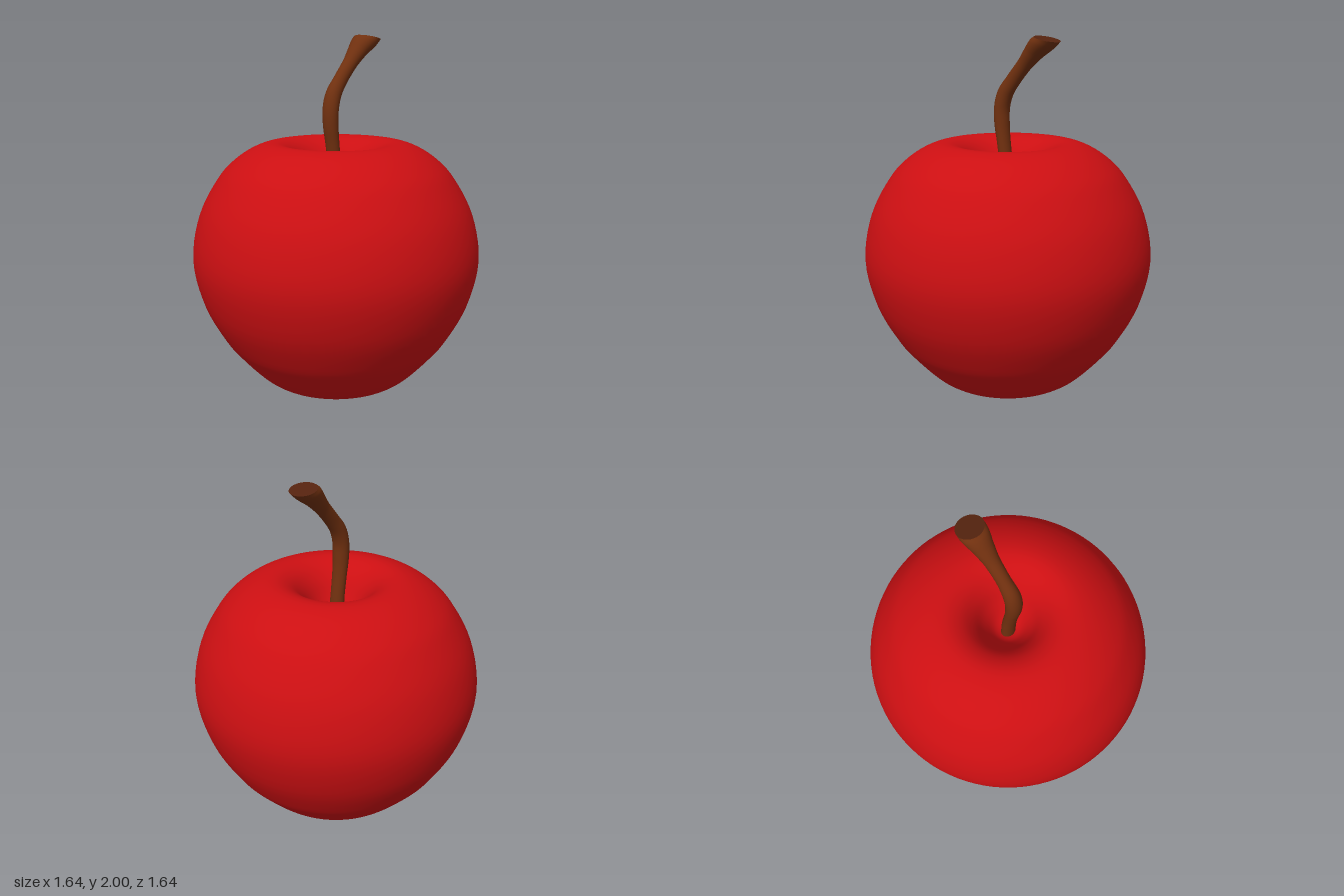
import * as THREE from 'three';

const material = (color) => new THREE.MeshStandardMaterial({ color });

// Stem cross-sections: y, z, radius in x, radius along the tilted depth, backward tilt
const RINGS = [
  [1.05, 0.00, 0.045, 0.036, 0.0],
  [1.25, 0.01, 0.043, 0.036, 0.0],
  [1.40, 0.03, 0.043, 0.036, -0.06],
  [1.50, 0.043, 0.046, 0.041, 0.0],
  [1.60, 0.043, 0.048, 0.043, 0.2],
  [1.68, 0.018, 0.044, 0.045, 0.5],
  [1.76, -0.043, 0.038, 0.042, 0.65],
  [1.84, -0.115, 0.042, 0.042, 0.7],
  [1.91, -0.182, 0.058, 0.053, 0.6],
  [1.955, -0.235, 0.074, 0.067, 0.42],
  [1.983, -0.27, 0.076, 0.072, 0.22],
];

// Sweep smoothed elliptical rings up the stem
function stemGeometry(steps = 60, sides = 32) {
  const path = new THREE.CatmullRomCurve3(RINGS.map(([y, z]) => new THREE.Vector3(0, y, z)));
  const shape = new THREE.CatmullRomCurve3(RINGS.map((r) => new THREE.Vector3(r[2], r[3], r[4])));
  const positions = [], index = [];
  for (let i = 0; i <= steps; i++) {
    const c = path.getPoint(i / steps), s = shape.getPoint(i / steps);
    for (let j = 0; j < sides; j++) {
      const a = (j / sides) * Math.PI * 2;
      const d = Math.cos(a) * s.y;
      positions.push(Math.sin(a) * s.x, c.y + d * Math.sin(s.z), c.z + d * Math.cos(s.z));
      if (i < steps) {
        const p = i * sides + j, q = i * sides + (j + 1) % sides;
        index.push(p, q, q + sides, p, q + sides, p + sides);
      }
    }
  }
  const geometry = new THREE.BufferGeometry();
  geometry.setAttribute('position', new THREE.Float32BufferAttribute(positions, 3));
  geometry.setIndex(index);
  geometry.computeVertexNormals();
  return geometry;
}

export function createModel() {
  const model = new THREE.Group();
  model.name = 'apple';

  // Body: smooth lathe with a shallow hollow below and a deep one above
  const profile = new THREE.SplineCurve([
    [0, 0.12], [0.08, 0.112], [0.17, 0.07], [0.26, 0.02], [0.34, 0.003], [0.41, 0.033],
    [0.48, 0.09], [0.58, 0.197], [0.66, 0.3], [0.765, 0.5], [0.82, 0.75], [0.777, 1.0],
    [0.672, 1.2], [0.575, 1.306], [0.46, 1.378], [0.35, 1.405], [0.26, 1.378],
    [0.19, 1.31], [0.13, 1.21], [0.07, 1.13], [0, 1.1],
  ].map(([r, y]) => new THREE.Vector2(r, y)));
  const points = profile.getPoints(100);
  points.forEach((p) => { p.x = Math.max(0, p.x); });
  const body = new THREE.Mesh(new THREE.LatheGeometry(points, 96), material(0xcc0f12));
  body.name = 'body';
  model.add(body);

  // Stem: bends to the back and flares at its tip
  const stem = new THREE.Mesh(stemGeometry(), material(0x70300f));
  stem.name = 'stem';
  model.add(stem);

  // Cut end of the stem
  const [y, z, rx, rd, tilt] = RINGS[RINGS.length - 1];
  const cap = new THREE.Mesh(new THREE.CircleGeometry(1, 32), material(0x55230f));
  cap.name = 'stemCap';
  cap.position.set(0, y, z);
  cap.scale.set(rx, rd, 1);
  cap.rotation.x = -Math.PI / 2 - tilt;
  model.add(cap);

  return model;
}
